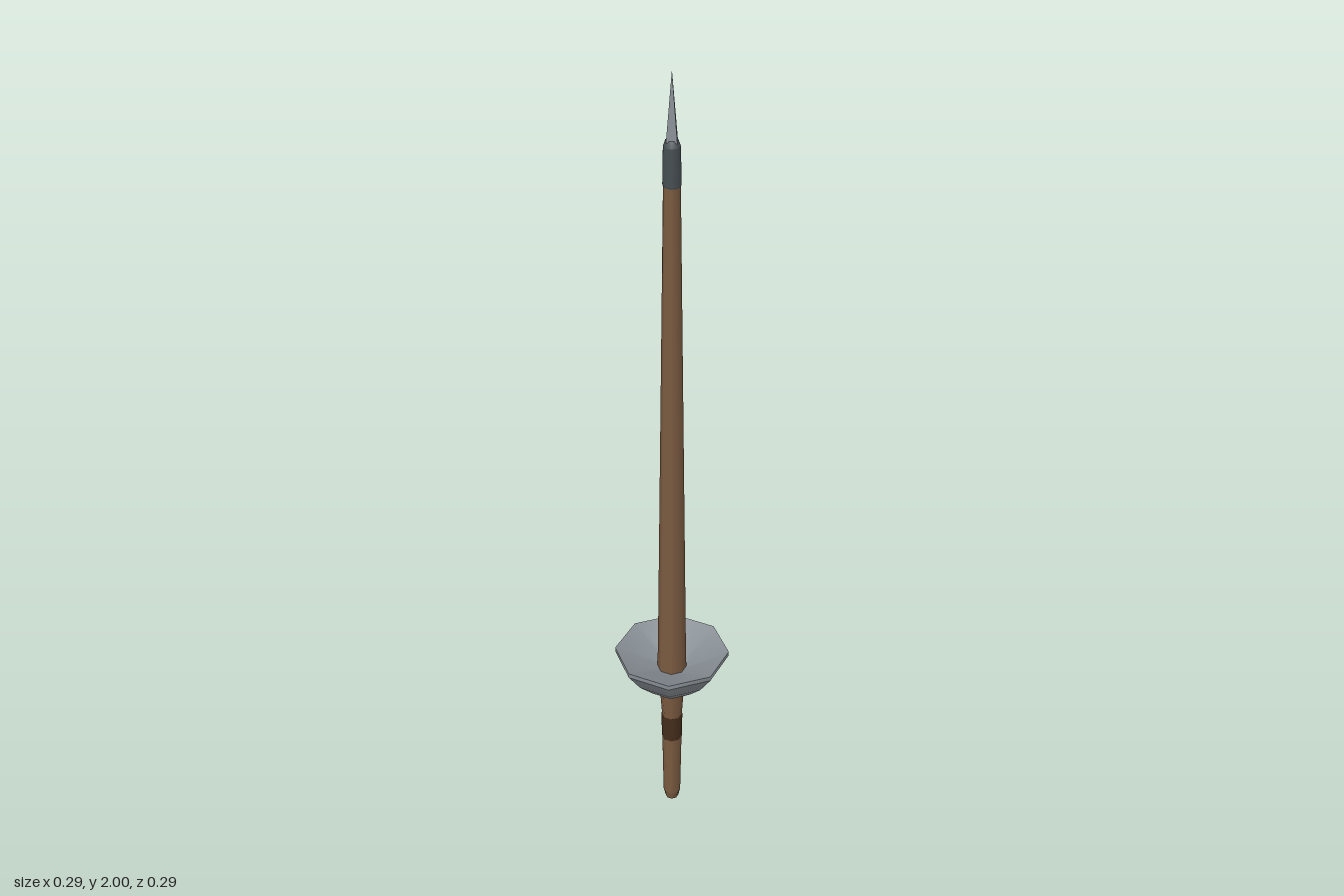
import * as THREE from 'three';

const SIDES = 8;

function material(name, color) {
  const m = new THREE.MeshStandardMaterial({ color });
  m.name = name;
  return m;
}

export function createModel() {
  const group = new THREE.Group();
  group.name = 'lance';

  const wood = material('brown wood', 0x7a5a40);
  const leather = material('dark leather', 0x452e1c);
  const steel = material('grey steel', 0x878e94);
  const iron = material('dark iron', 0x474f53);

  // Turned part from a profile of [radius, height], listed bottom to top on the outside
  function turned(name, mat, profile, sides = SIDES) {
    const points = profile.map(([r, y]) => new THREE.Vector2(r, y));
    const mesh = new THREE.Mesh(new THREE.LatheGeometry(points, sides), mat);
    mesh.name = name;
    group.add(mesh);
    return mesh;
  }

  // Handle below the guard, with a bevelled butt
  turned('buttCap', wood, [[0, 0], [0.017, 0]]);
  turned('buttBevel', wood, [[0.017, 0], [0.022, 0.022]]);
  turned('lowerHandle', wood, [[0.022, 0.022], [0.025, 0.21]]);
  turned('gripWrap', leather, [[0.0245, 0.21], [0.026, 0.21], [0.027, 0.285], [0.0255, 0.285]]);
  turned('upperHandle', wood, [[0.0255, 0.285], [0.031, 0.37]]);

  // Flared hand guard: outer bowl, thin rim and hollow top
  turned('guardBowl', steel, [[0.029, 0.362], [0.065, 0.387], [0.106, 0.428], [0.143, 0.482]]);
  turned('guardRim', steel, [[0.143, 0.482], [0.143, 0.494]]);
  turned('guardHollow', steel, [[0.143, 0.494], [0.03, 0.44]]);

  // Long tapering shaft
  turned('shaft', wood, [[0.037, 0.42], [0.035, 0.52], [0.019, 1.75]]);

  // Iron socket and four-sided point
  turned('socket', iron, [[0.019, 1.745], [0.0205, 1.75], [0.019, 1.835]]);
  turned('socketShoulder', iron, [[0.019, 1.835], [0.014, 1.85], [0, 1.85]]);
  const point = new THREE.Mesh(new THREE.ConeGeometry(0.017, 0.155, 4).toNonIndexed(), steel);
  point.geometry.computeVertexNormals();
  point.position.y = 1.9225;
  point.name = 'point';
  group.add(point);

  return group;
}
